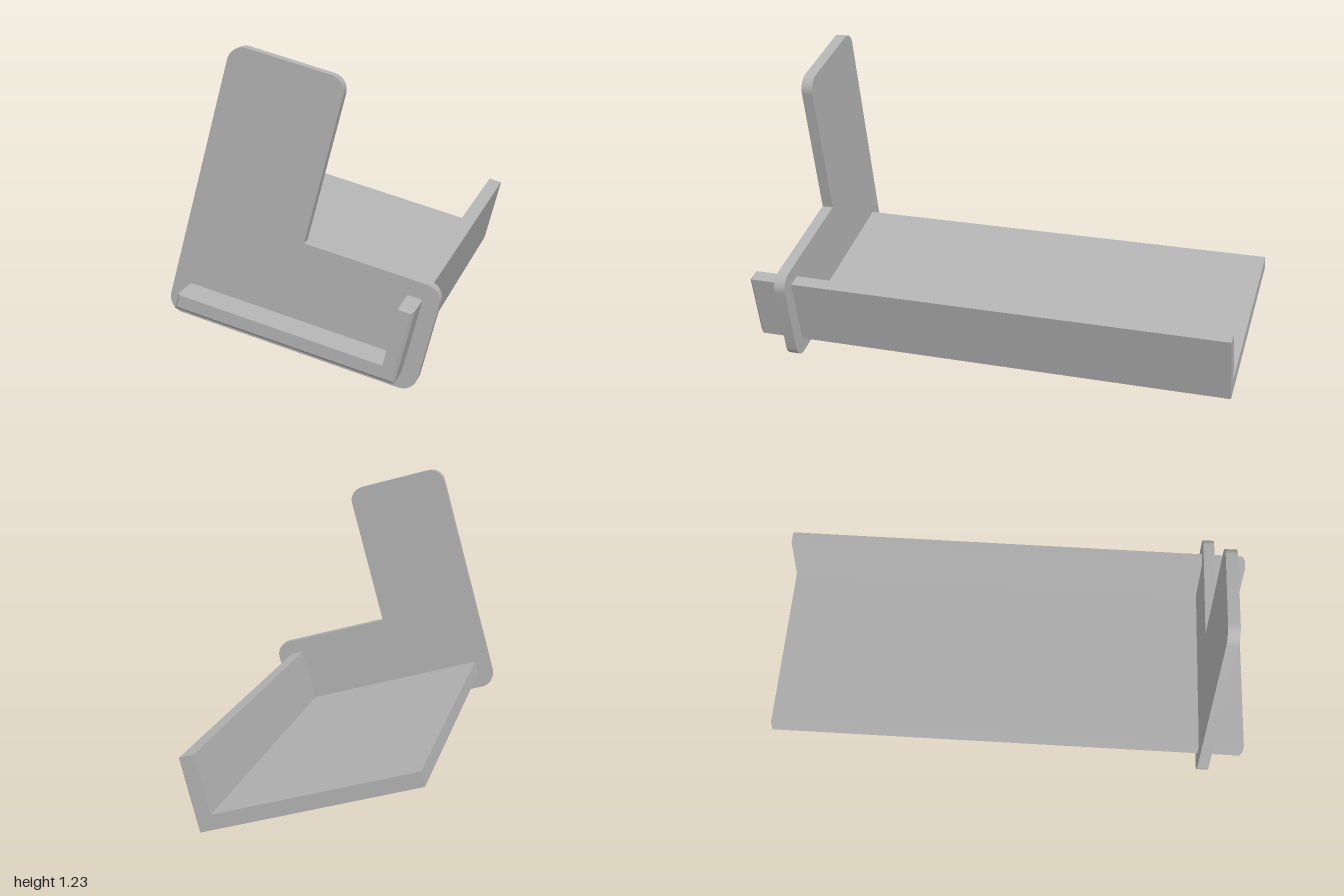
import * as THREE from 'three';
import { toCreasedNormals } from 'three/addons/utils/BufferGeometryUtils.js';

const grey = new THREE.MeshStandardMaterial({ color: 0xb2b2b2 });
grey.name = 'plain grey';

// Closed outline; points with a third value get a corner of that radius
function roundedShape(points) {
  const shape = new THREE.Shape();
  points.forEach(([x, y, r = 0], i) => {
    const p = new THREE.Vector2(x, y);
    const toward = (q) => new THREE.Vector2(q[0], q[1]).sub(p).setLength(r).add(p);
    const a = r ? toward(points.at(i - 1)) : p;
    if (i === 0) shape.moveTo(a.x, a.y);
    else shape.lineTo(a.x, a.y);
    if (r) {
      const b = toward(points[(i + 1) % points.length]);
      const c = a.clone().add(b).sub(p);
      shape.absarc(c.x, c.y, r, Math.atan2(a.y - c.y, a.x - c.x), Math.atan2(b.y - c.y, b.x - c.x), false);
    }
  });
  shape.closePath();
  return shape;
}

function addPart(parent, name, geometry) {
  const mesh = new THREE.Mesh(geometry, grey);
  mesh.name = name;
  parent.add(mesh);
}

export function createModel() {
  const model = new THREE.Group();
  model.name = 'angleRailWithPlate';
  const tilted = new THREE.Group();
  tilted.name = 'tiltedAssembly';
  tilted.rotation.z = -Math.PI / 12;
  model.add(tilted);

  // Long L-section rail, with a small chamfer round the outside of its front end
  const L = -0.505, R = 0.34, B = 0.16, T = 0.446, t = 0.057, c = 0.011;
  const section = roundedShape([[L, B], [R, B], [R, T], [R - t, T], [R - t, B + t], [L, B + t]]);
  const rail = new THREE.ExtrudeGeometry(section, { depth: 2, steps: 2, bevelEnabled: false });
  const pos = rail.attributes.position;
  for (let i = 0; i < pos.count; i++) {
    const z = pos.getZ(i);
    if (z > 1.5) {
      pos.setX(i, THREE.MathUtils.clamp(pos.getX(i), L + c, R - c));
      pos.setY(i, THREE.MathUtils.clamp(pos.getY(i), B + c, T - c));
    }
    pos.setZ(i, z < 0.5 ? -1 : z < 1.5 ? 1 - c : 1);
  }
  rail.computeVertexNormals();
  addPart(tilted, 'angleRail', rail);

  // L-shaped end plate with rounded outer corners
  const r = 0.06;
  const outline = roundedShape([
    [-0.57, 0.095, r], [0.402, 0.095, r], [0.402, 0.506, r],
    [-0.13, 0.506], [-0.13, 1.131, r], [-0.57, 1.131, r],
  ]);
  const plate = new THREE.ExtrudeGeometry(outline, { depth: 0.047, bevelEnabled: false, curveSegments: 10 });
  plate.translate(0, 0, 0.81);
  addPart(tilted, 'endPlate', toCreasedNormals(plate, Math.PI / 6));

  return model;
}
